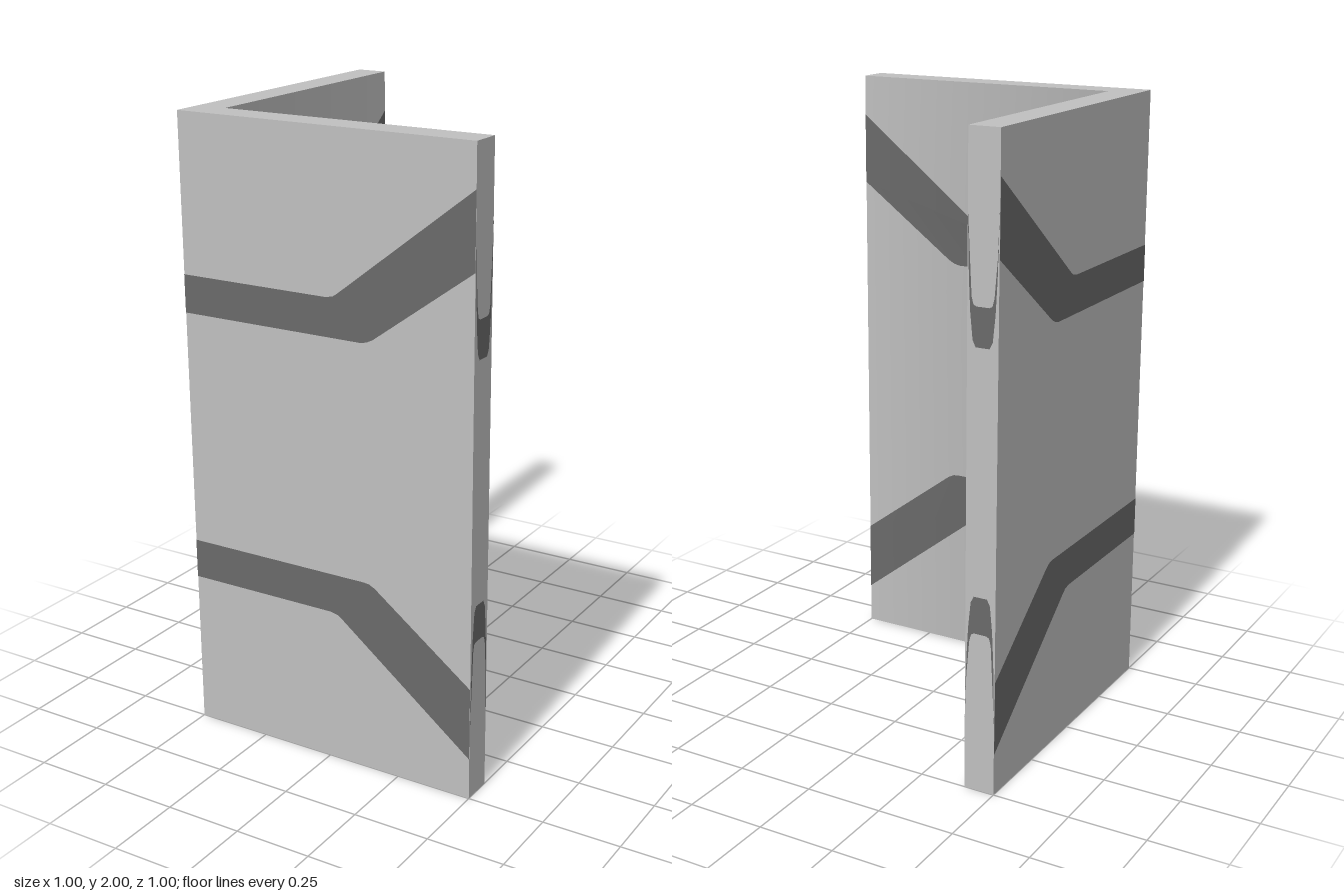
import * as THREE from 'three';

const wallGrey = new THREE.MeshStandardMaterial({ color: 0xc0c0c0 });
wallGrey.name = 'wall grey';
const bandGrey = new THREE.MeshStandardMaterial({ color: 0x6a6a6a });
bandGrey.name = 'band grey';

const SKIN = 0.001; // bands sit just proud of the wall
const shapeOf = (pts) => new THREE.Shape(pts.map(([x, y]) => new THREE.Vector2(x, y)));

// Band outlines along a wing: u runs from the corner to the free end
const upperBand = (u0) => [
  [u0, 1.385], [0.13, 1.385], [0.15, 1.39], [0.17, 1.4], [0.5, 1.64],
  [0.5, 1.87], [0.05, 1.52], [0.035, 1.51], [0.01, 1.505], [u0, 1.505],
];
const lowerBand = (u0) => [
  [u0, 0.505], [0.01, 0.505], [0.035, 0.5], [0.05, 0.49], [0.5, 0.135],
  [0.5, 0.37], [0.17, 0.62], [0.15, 0.63], [0.13, 0.632], [u0, 0.632],
];

// U-shaped mark on the narrow end; dir = 1 opens upward, -1 opens downward
function endMark(y0, dir) {
  const side = [
    [0.022, 0], [0.032, 0.02], [0.04, 0.1], [0.045, 0.2], [0.0495, 0.4],
    [0.0485, 0.3], [0.042, 0.22], [0.036, 0.145], [0.03, 0.122], [0.02, 0.117],
  ];
  const left = side.map(([s, h]) => [-s, h]).reverse();
  return [...side, ...left].map(([s, h]) => [s, y0 + dir * h]);
}

// Turn a flat outline into a skin, moved point by point
function skin(pts, place, flip) {
  const geo = new THREE.ShapeGeometry(shapeOf(pts));
  const pos = geo.attributes.position;
  for (let i = 0; i < pos.count; i++) pos.setXYZ(i, ...place(pos.getX(i), pos.getY(i)));
  if (flip) flipFaces(geo);
  geo.computeVertexNormals();
  return geo;
}

function flipFaces(geo) {
  const a = geo.index.array;
  for (let i = 0; i < a.length; i += 3) [a[i], a[i + 1]] = [a[i + 1], a[i]];
}

// Inner skins share the softened normals of the inner corner
function softenInner(geo) {
  const { position: p, normal: n } = geo.attributes;
  for (let i = 0; i < p.count; i++) {
    const t = (p.getX(i) + 0.4) / 0.9;
    const k = Math.SQRT1_2 * (1 - t);
    n.setXYZ(i, k, 0, -k - t);
  }
  return geo;
}

// Mirror a skin from the front wing onto the side wing
function mirrored(source) {
  const geo = source.clone();
  for (const a of [geo.attributes.position, geo.attributes.normal]) {
    for (let i = 0; i < a.count; i++) a.setXYZ(i, -a.getZ(i), a.getY(i), -a.getX(i));
  }
  flipFaces(geo);
  return geo;
}

function cornerWall() {
  const outline = [[-0.5, -0.5], [0.5, -0.5], [0.5, -0.4], [-0.4, -0.4], [-0.4, 0.5], [-0.5, 0.5]];
  const geo = new THREE.ExtrudeGeometry(shapeOf(outline), { depth: 2, bevelEnabled: false });
  geo.rotateX(-Math.PI / 2);
  // Smooth normals across the inner corner
  const { position: p, normal: n } = geo.attributes;
  for (let i = 0; i < p.count; i++) {
    const atCorner = Math.abs(p.getX(i) + 0.4) < 1e-3 && Math.abs(p.getZ(i) - 0.4) < 1e-3;
    if (atCorner && Math.abs(n.getY(i)) < 0.1) n.setXYZ(i, Math.SQRT1_2, 0, -Math.SQRT1_2);
  }
  return geo;
}

export function createModel() {
  const model = new THREE.Group();
  model.name = 'cornerWall';
  const add = (name, geo, material) => {
    const mesh = new THREE.Mesh(geo, material);
    mesh.name = name;
    model.add(mesh);
  };

  add('wall', cornerWall(), wallGrey);

  // Bands on the outer face, inner face and free end of both wings
  const bands = [['upper', upperBand, 1.385, 1], ['lower', lowerBand, 0.632, -1]];
  for (const [name, band, y0, dir] of bands) {
    const parts = {
      OuterBand: skin(band(-0.5), (u, y) => [u, y, 0.5 + SKIN], false),
      InnerBand: softenInner(skin(band(-0.4), (u, y) => [u, y, 0.4 - SKIN], true)),
      EndMark: skin(endMark(y0, dir), (s, y) => [0.5 + SKIN, y, 0.45 - s], false),
    };
    for (const [part, geo] of Object.entries(parts)) {
      add(`${name}${part}Front`, geo, bandGrey);
      add(`${name}${part}Side`, mirrored(geo), bandGrey);
    }
  }
  return model;
}
